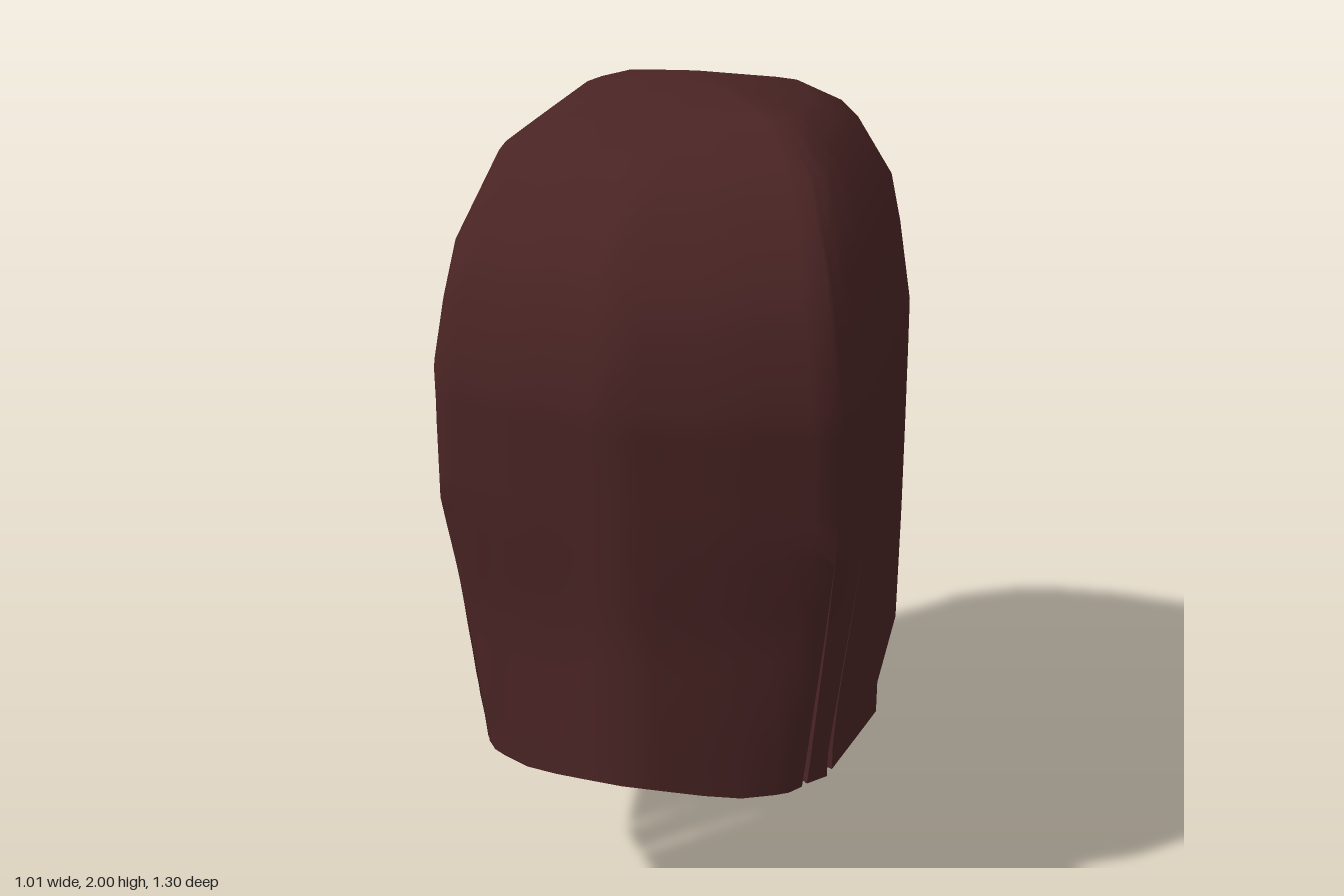
import * as THREE from 'three';
import { toCreasedNormals } from 'three/addons/utils/BufferGeometryUtils.js';

// Half outlines seen from above (unit x, z), running from the +z middle round to the -z middle
const PLAN = [[0, 1], [0.48, 0.92], [0.91, 0.81], [0.97, 0.7], [1, 0.5], [1, 0.23], [0.995, -0.28],
  [0.93, -0.54], [0.76, -0.9], [0.57, -0.97], [0.27, -0.985], [0, -1]];
// The same outline at the hem, where the +z corners draw inwards
const HEM_PLAN = [[0, 1], [0.5, 0.85], [0.7, 0.76], [0.77, 0.69], [0.83, 0.5], [1, 0.23], [0.99, -0.28],
  [0.92, -0.54], [0.73, -0.89], [0.63, -0.99], [0.27, -1], [0, -1]];
// Silhouette rings: y, half width, front z, back z
const RINGS = [[2, 0, -0.04, -0.04], [1.96, 0.265, 0.23, -0.2], [1.885, 0.37, 0.42, -0.36],
  [1.72, 0.44, 0.585, -0.58], [1.6, 0.465, 0.625, -0.62], [1.46, 0.488, 0.655, -0.645],
  [1.36, 0.491, 0.648, -0.63], [0.9, 0.497, 0.617, -0.625], [0.5, 0.5, 0.632, -0.62], [0, 0.49, 0.63, -0.61]];
const THICK = 0.025, LOWER_ROWS = 16;
const lerp = THREE.MathUtils.lerp, clamp = THREE.MathUtils.clamp;

// Piecewise linear sample of a list of rows
function sample(rows, t) {
  const i = clamp(Math.floor(t), 0, rows.length - 2);
  return rows[i].map((v, k) => lerp(v, rows[i + 1][k], t - i));
}

function ringAt(y) {
  let i = 0;
  while (i < RINGS.length - 2 && y < RINGS[i + 1][0]) i++;
  return sample(RINGS, i + (RINGS[i][0] - y) / (RINGS[i][0] - RINGS[i + 1][0]));
}

// Point on the outer or inner skin at outline position u and height y
function skin(u, y, side, inset) {
  const [, w, zf, zb] = ringAt(y), top = sample(PLAN, u), low = sample(HEM_PLAN, u);
  const t = clamp((1.15 - y) / 0.65, 0, 1);
  const depth = Math.max(0, (zf - zb) / 2 - inset);
  // The right side is slightly narrower above and flares at the hem
  const flare = side > 0 ? 1 : lerp(0.965, 1.015, clamp((1.4 - y) / 0.8, 0, 1));
  return new THREE.Vector3(side * lerp(top[0], low[0], t) * Math.max(0, w * flare - inset),
    y - inset * clamp((y - 1.46) / 0.4, 0, 1), (zf + zb) / 2 + lerp(top[1], low[1], t) * depth);
}

// Lock edge: follows outline position u, then drifts to uEnd below the split height
const edge = (u, split = -1, uEnd = u, range = 0.6) => ({ u, split, uEnd, range });
const edgeU = (e, y) => lerp(e.u, e.uEnd, clamp((e.split - y) / e.range, 0, 1));

// One lock of hair running from the crown to its hem, as a thick strip
function addLock(out, side, a, b, hems) {
  const tri = (p, q, r) => {
    if (p.distanceTo(q) < 1e-6 || q.distanceTo(r) < 1e-6 || p.distanceTo(r) < 1e-6) return;
    for (const v of side > 0 ? [p, q, r] : [p, r, q]) out.push(v.x, v.y, v.z);
  };
  const quad = (p, q, r, s) => { tri(p, q, r); tri(p, r, s); };
  const cols = Math.ceil(b.u - a.u) * 4, hemRows = hems.map(h => [h]);
  const dome = RINGS.slice(0, 5).map(r => r[0]);
  const rows = dome.length + LOWER_ROWS;
  const grid = inset => Array.from({ length: rows + 1 }, (_, r) =>
    Array.from({ length: cols + 1 }, (_, c) => {
      const hem = sample(hemRows, (c / cols) * (hems.length - 1))[0];
      const k = r - dome.length;
      const y = k < 0 ? dome[r] : lerp(1.46, hem, k / LOWER_ROWS);
      return skin(lerp(edgeU(a, y), edgeU(b, y), c / cols), y, side, inset);
    }));
  const o = grid(0), n = grid(THICK);
  for (let r = 0; r < rows; r++) {
    for (let c = 0; c < cols; c++) {
      quad(o[r][c], o[r + 1][c], o[r + 1][c + 1], o[r][c + 1]);
      quad(n[r][c], n[r][c + 1], n[r + 1][c + 1], n[r + 1][c]);
    }
    // Side walls only where the lock is free of its neighbour
    if (o[r + 1][0].y < a.split) quad(o[r][0], n[r][0], n[r + 1][0], o[r + 1][0]);
    if (o[r + 1][cols].y < b.split) quad(o[r][cols], o[r + 1][cols], n[r + 1][cols], n[r][cols]);
  }
  for (let c = 0; c < cols; c++) quad(o[rows][c], n[rows][c], n[rows][c + 1], o[rows][c + 1]);
}

export function createModel() {
  const group = new THREE.Group();
  group.name = 'hair';
  const brown = new THREE.MeshStandardMaterial({ color: 0x4a2424 });
  brown.name = 'dark brown hair';

  const out = [], parts = [];
  const lock = (name, ...args) => {
    const start = out.length;
    addLock(out, ...args);
    parts.push([name, start, out.length]);
  };

  for (const side of [1, -1]) {
    const left = side > 0, s = left ? 'left' : 'right';
    // Broad sheet and two slanting locks
    lock(s + 'MainSheet', side, edge(0), edge(2, 1.14, 2.8), [0.54, 0.487, 0.48, 0.48]);
    lock(s + 'SlantedLock', side, edge(2, 1.14, 3.05), edge(3.75, 1.08, 4), [0.48, 0.43]);
    lock(s + 'MiddleLock', side, edge(3.75, 1.08, 4.1), edge(5, left ? 0.6 : 1.32), [0.44, 0.52]);
    // Side panels; the right one has an open slot beside it
    lock(s + 'SidePanel', side, left ? edge(5, 0.6) : edge(5, 1.32, 5.24, 0.05),
      edge(6, 1.05), [0.6, 0.605]);
    lock(s + 'CheekPanel', side, edge(6, 1.05, 6.07), edge(7, 0.72, 6.95, 0.1), [0.62, 0.6]);
    lock(s + 'TemplePanel', side, edge(7, 0.72, 7.02, 0.1), edge(8, 1.14, 7.95, 0.3), [0.6, 0.84]);
    // Long lock framing the face
    lock(s + 'FaceLock', side, edge(8, 1.14, left ? 8.02 : 8.1),
      left ? edge(9, 1.66, 8.8, 1.6) : edge(9, 1.66, 9.35, 1.3), left ? [0.08, 0] : [0.38, 0.31]);
    // Fringe
    lock(s + 'OuterFringe', side, edge(9, 1.66, 9.1, 0.25), edge(10, 1.66, 9.95, 0.25), [1.36, 1.39]);
    lock(s + 'InnerFringe', side, edge(10, 1.66, 10.06, 0.25), edge(11, 1.66, 10.94, 0.25), [1.39, 1.38]);
  }

  // Smooth the whole shell at once, then cut it into its named locks
  const whole = new THREE.BufferGeometry();
  whole.setAttribute('position', new THREE.Float32BufferAttribute(out, 3));
  const smooth = toCreasedNormals(whole, 1.1);
  for (const [name, start, end] of parts) {
    const geo = new THREE.BufferGeometry();
    for (const key of ['position', 'normal']) {
      geo.setAttribute(key, new THREE.BufferAttribute(smooth.attributes[key].array.slice(start, end), 3));
    }
    const mesh = new THREE.Mesh(geo, brown);
    mesh.name = name;
    group.add(mesh);
  }
  return group;
}
